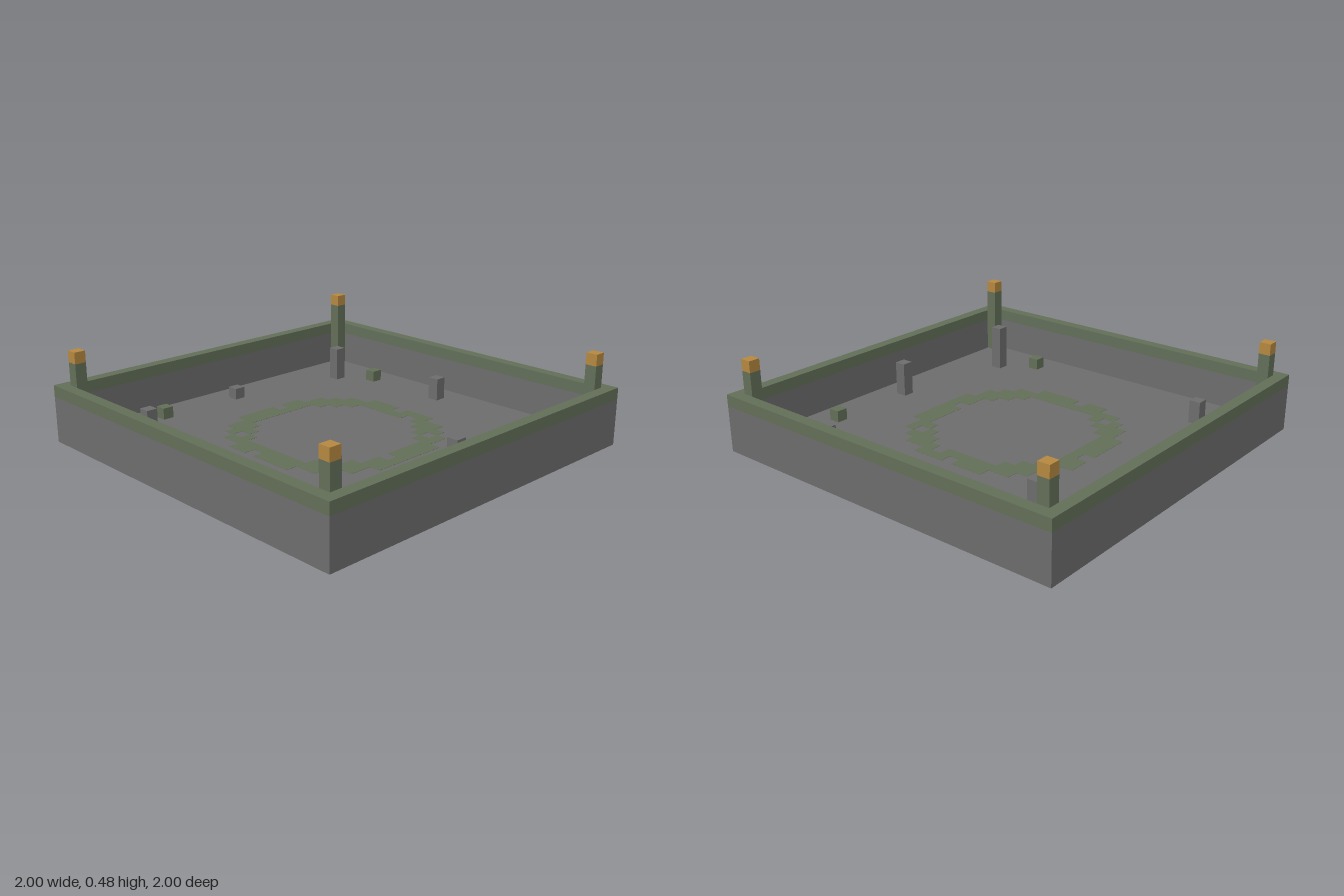
import * as THREE from 'three';

const N = 33;        // blocks along one side
const U = 2 / N;     // size of one block

export function createModel() {
  const group = new THREE.Group();
  const stone = new THREE.MeshStandardMaterial({ color: 0x6c6c6c });
  const moss = new THREE.MeshStandardMaterial({ color: 0x626e58 });
  const flame = new THREE.MeshStandardMaterial({ color: 0xb4873f });
  stone.name = 'stone';
  moss.name = 'moss';
  flame.name = 'flame';

  // Block column at grid cell (i, k), from level y0 to y1, all in block units
  function column(name, material, i, k, y0, y1, size = 1) {
    const mesh = new THREE.Mesh(new THREE.BoxGeometry(size * U, (y1 - y0) * U, size * U), material);
    mesh.position.set(i * U, (y0 + y1) / 2 * U, k * U);
    mesh.name = name;
    group.add(mesh);
  }

  // Square frame of wall, one block thick
  function wall(name, material, y0, y1) {
    const square = (path, r) => path.moveTo(-r, -r).lineTo(r, -r).lineTo(r, r).lineTo(-r, r).closePath();
    const shape = square(new THREE.Shape(), 1);
    shape.holes.push(square(new THREE.Path(), 1 - U));
    const geometry = new THREE.ExtrudeGeometry(shape, { depth: (y1 - y0) * U, bevelEnabled: false });
    geometry.rotateX(-Math.PI / 2).translate(0, y0 * U, 0);
    const mesh = new THREE.Mesh(geometry, material);
    mesh.name = name;
    group.add(mesh);
  }

  // Floor and surrounding wall with a mossy top course
  column('floor', stone, 0, 0, 0.02, 1, N - 2);
  wall('wall', stone, 0, 4);
  wall('wallCap', moss, 4, 5);

  // Worn ring of mossy blocks set through the floor
  const worn = ['0,-8', '2,-7', '-8,-1', '6,-5', '7,1', '-5,6', '-1,8'];
  for (let i = -8; i <= 8; i++) {
    for (let k = -8; k <= 8; k++) {
      const r = Math.hypot(i, k);
      if (r < 6.95 || r > 8.7 || worn.includes(`${i},${k}`)) continue;
      column('floorRing', moss, i, k, 0, 1.02);
    }
  }

  // Corner torches
  for (const i of [-15, 15]) {
    for (const k of [-15, 15]) {
      column('torchPost', moss, i, k, 1, 7);
      column('torchFlame', flame, i, k, 7, 8);
    }
  }

  // Broken pillars: cell x, cell z, height
  const pillars = [
    [-11, -11, 3], [0, -13, 2], [11, -11, 1], [13, 0, 3],
    [11, 11, 4], [-11, 11, 2], [-13, 0, 1],
  ];
  for (const [i, k, h] of pillars) column('pillar', stone, i, k, 1, 1 + h);

  // Mossy rubble blocks
  for (const [i, k] of [[-8, -13], [13, -8], [8, 13], [-13, 8]]) column('rubble', moss, i, k, 1, 2);

  return group;
}
